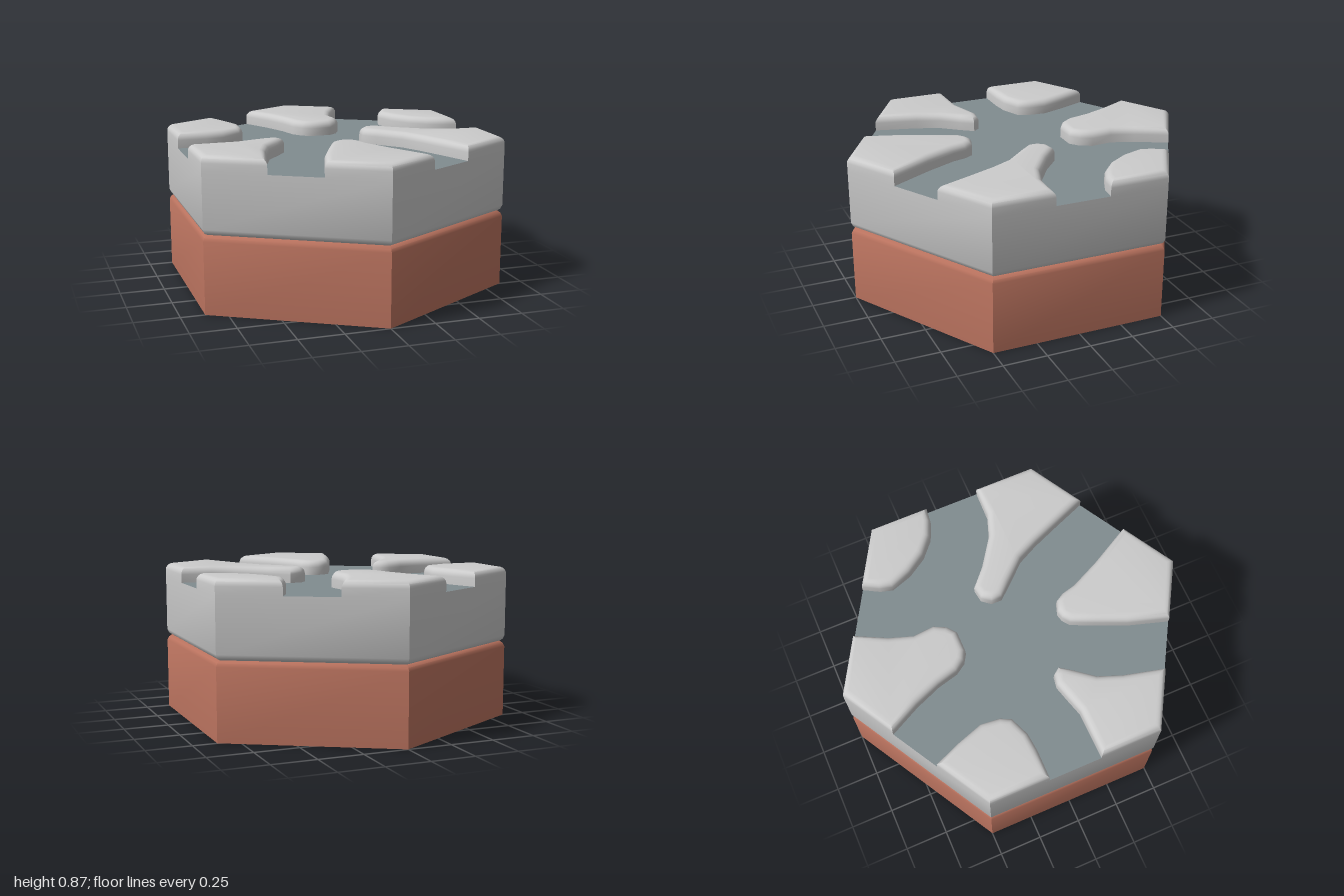
import * as THREE from 'three';
import { toCreasedNormals } from 'three/addons/utils/BufferGeometryUtils.js';

const GREY = 0xcccccc, BRICK = 0xb9725e, ROAD = 0x818c90;
const FLOOR = 0.78, TOP = 0.866, ROUND = 0.04;

// Plan outline from [x, z] pairs, counter-clockwise seen from above
function outline(points) {
  const loop = points.map(([x, z]) => new THREE.Vector2(x, -z));
  return THREE.ShapeUtils.isClockWise(loop) ? loop.reverse() : loop;
}

// Move every edge of an outline inwards by d
function inset(loop, d) {
  const n = loop.length;
  return loop.map((p, i) => {
    const a = p.clone().sub(loop[(i + n - 1) % n]).normalize();
    const b = loop[(i + 1) % n].clone().sub(p).normalize();
    const miter = new THREE.Vector2(-a.y - b.y, a.x + b.x);
    return p.clone().addScaledVector(miter, d / (1 + a.dot(b)));
  });
}

// Solid from an outline and a list of [height, inset] levels
function loft(loop, levels, capBottom, capTop) {
  const n = loop.length, pos = [], index = [];
  const rings = levels.map(([, d]) => inset(loop, d));
  rings.forEach((ring, k) => ring.forEach((p) => pos.push(p.x, levels[k][0], -p.y)));
  for (let k = 0; k < levels.length - 1; k++) {
    for (let i = 0; i < n; i++) {
      const a = k * n + i, b = k * n + (i + 1) % n;
      index.push(a, b, b + n, a, b + n, a + n);
    }
  }
  const last = (levels.length - 1) * n;
  if (capBottom) {
    for (const [a, b, c] of THREE.ShapeUtils.triangulateShape(rings[0], [])) index.push(a, c, b);
  }
  if (capTop) {
    for (const [a, b, c] of THREE.ShapeUtils.triangulateShape(rings[levels.length - 1], [])) {
      index.push(last + a, last + b, last + c);
    }
  }
  const geo = new THREE.BufferGeometry();
  geo.setAttribute('position', new THREE.Float32BufferAttribute(pos, 3));
  geo.setIndex(index);
  return toCreasedNormals(geo, 0.8);
}

// Raised blocks, one per corner of the hexagon
const BLOCKS = {
  backBlock: [[0, -1], [0.3, -0.827], [0.21, -0.65], [0.165, -0.52], [0.175, -0.4], [0.14, -0.33],
    [0.09, -0.29], [-0.03, -0.29], [-0.08, -0.32], [-0.12, -0.38], [-0.15, -0.5], [-0.21, -0.65], [-0.3, -0.827]],
  backLeftBlock: [[0.866, -0.5], [0.866, -0.16], [0.78, -0.17], [0.69, -0.21], [0.6, -0.29],
    [0.53, -0.4], [0.49, -0.52], [0.51, -0.59], [0.56, -0.677]],
  frontLeftBlock: [[0.866, 0.5], [0.56, 0.677], [0.49, 0.5], [0.42, 0.33], [0.36, 0.21], [0.25, 0.09],
    [0.19, 0.02], [0.19, -0.04], [0.23, -0.09], [0.3, -0.1], [0.4, -0.01], [0.56, 0.1], [0.69, 0.145], [0.866, 0.15]],
  frontBlock: [[0, 1], [-0.3, 0.827], [-0.23, 0.6], [-0.16, 0.44], [-0.1, 0.31], [-0.06, 0.28],
    [-0.02, 0.27], [0.04, 0.29], [0.07, 0.34], [0.09, 0.42], [0.17, 0.59], [0.3, 0.827]],
  frontRightBlock: [[-0.866, 0.5], [-0.866, 0.15], [-0.6, 0.145], [-0.5, 0.115], [-0.41, 0.09],
    [-0.35, 0.1], [-0.32, 0.14], [-0.37, 0.21], [-0.45, 0.31], [-0.5, 0.44], [-0.56, 0.677]],
  backRightBlock: [[-0.866, -0.5], [-0.56, -0.677], [-0.5, -0.53], [-0.45, -0.38], [-0.46, -0.27],
    [-0.49, -0.21], [-0.6, -0.165], [-0.7, -0.155], [-0.866, -0.155]],
};

export function createModel() {
  const group = new THREE.Group();
  const material = (color) => new THREE.MeshStandardMaterial({ color });
  const add = (name, geo, mat) => {
    const mesh = new THREE.Mesh(geo, mat);
    mesh.name = name;
    group.add(mesh);
  };
  const grey = material(GREY);
  const hexagon = outline(Array.from({ length: 6 }, (_, i) =>
    [Math.sin(i * Math.PI / 3), Math.cos(i * Math.PI / 3)]));

  // Base and slab, meeting in a shallow groove
  add('base', loft(hexagon, [[0, 0], [0.405, 0], [0.423, 0.008], [0.437, 0.025]], true, true), material(BRICK));
  add('slab', loft(hexagon, [[0.437, 0.025], [0.447, 0.01], [0.47, 0], [FLOOR, 0]], true, false), grey);

  // Road surface between the blocks
  const road = new THREE.ShapeGeometry(new THREE.Shape(hexagon));
  road.rotateX(-Math.PI / 2).translate(0, FLOOR, 0);
  add('road', road, material(ROAD));

  // Blocks with rounded top edges
  const levels = [[FLOOR, 0]];
  for (let i = 0; i <= 5; i++) {
    const t = i / 5 * Math.PI / 2;
    levels.push([TOP - ROUND * (1 - Math.sin(t)), ROUND * (1 - Math.cos(t))]);
  }
  for (const [name, points] of Object.entries(BLOCKS)) {
    add(name, loft(outline(points), levels, false, true), grey);
  }
  return group;
}
